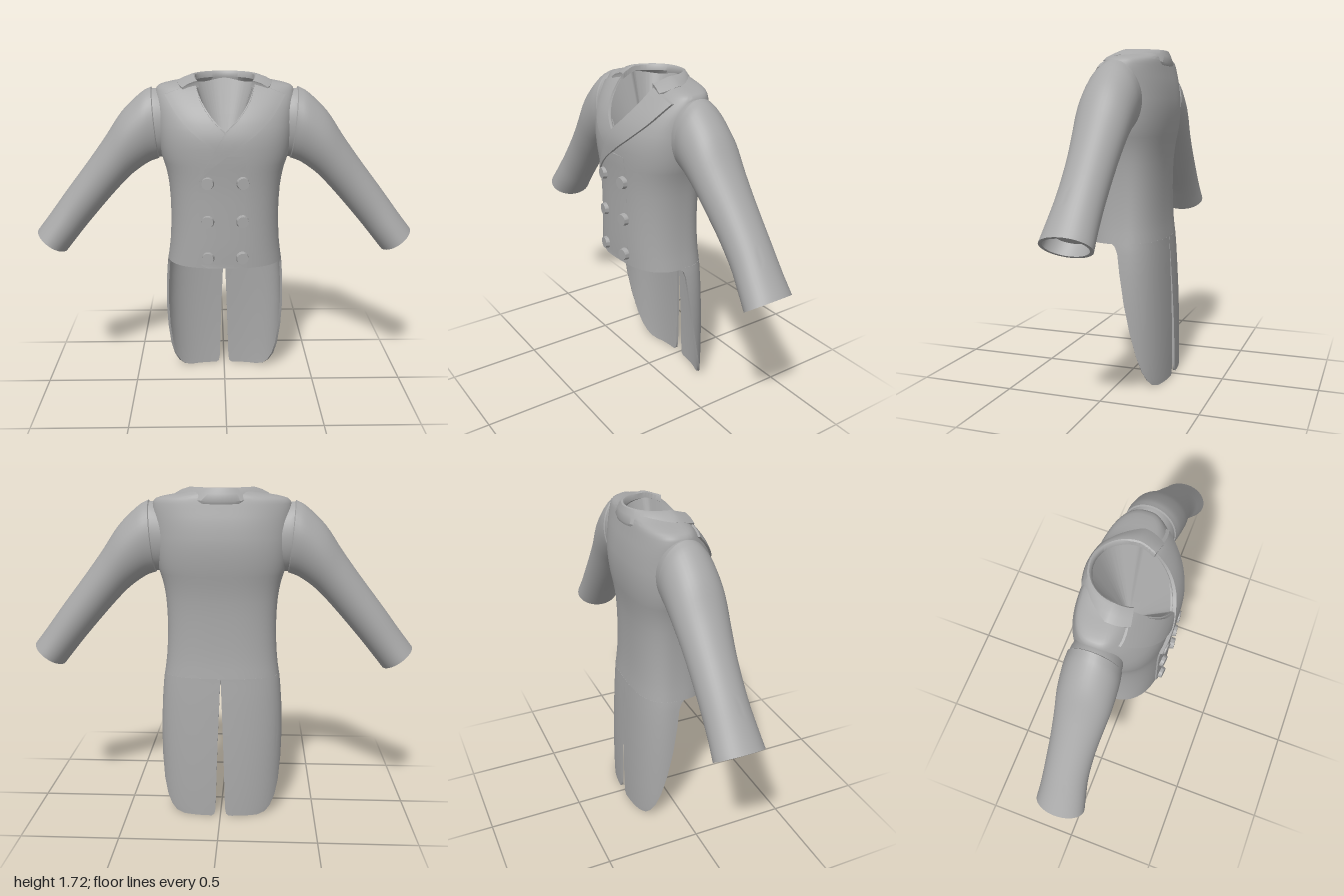
import * as THREE from 'three';
import { toCreasedNormals } from 'three/addons/utils/BufferGeometryUtils.js';

const cloth = new THREE.MeshStandardMaterial({ color: 0xa8a8a8, side: THREE.DoubleSide });
cloth.name = 'grey cloth';
const N = 2.6, ZC = -0.03;            // superellipse power and centre depth

// Body sections: height, half width, front z, back z
const BODY = [
  [0.75, 0.305, 0.205, -0.2], [0.85, 0.292, 0.208, -0.19], [1.0, 0.285, 0.209, -0.185],
  [1.15, 0.291, 0.211, -0.188], [1.25, 0.308, 0.216, -0.2], [1.32, 0.33, 0.22, -0.212],
  [1.42, 0.345, 0.219, -0.22], [1.5, 0.35, 0.197, -0.215], [1.56, 0.354, 0.165, -0.206],
  [1.6, 0.356, 0.135, -0.197], [1.64, 0.352, 0.1, -0.188], [1.665, 0.335, 0.075, -0.182],
  [1.68, 0.28, 0.055, -0.178], [1.692, 0.21, 0.04, -0.175], [1.705, 0.165, 0.03, -0.172],
];
// Tail sections: height, half width, back z, front edge z, slit half width
const TAIL = [
  [0.755, 0.305, -0.2, 0.015, 0.001], [0.735, 0.308, -0.201, -0.008, 0.001], [0.7, 0.312, -0.204, -0.022, 0.003],
  [0.6, 0.32, -0.21, -0.036, 0.007], [0.45, 0.326, -0.218, -0.06, 0.013], [0.3, 0.326, -0.224, -0.09, 0.018],
  [0.17, 0.325, -0.227, -0.122, 0.022], [0.09, 0.323, -0.228, -0.147, 0.024], [0.04, 0.32, -0.228, -0.168, 0.026],
  [0.012, 0.318, -0.228, -0.185, 0.031], [0, 0.316, -0.228, -0.203, 0.045],
];
// Sleeve sections: upper x, y, lower x, y, front z, back z
const SLEEVE = [
  [0.376, 1.655, 0.343, 1.287, 0.1, -0.16], [0.43, 1.625, 0.4, 1.265, 0.108, -0.163],
  [0.53, 1.53, 0.485, 1.205, 0.108, -0.16], [0.62, 1.4, 0.56, 1.13, 0.097, -0.15],
  [0.72, 1.265, 0.645, 1.035, 0.085, -0.143], [0.84, 1.11, 0.735, 0.93, 0.083, -0.14],
  [0.93, 0.99, 0.8, 0.85, 0.094, -0.141], [1.0, 0.9, 0.852, 0.785, 0.105, -0.146],
];

// Smooth (Hermite) sampling of a table sorted by its first column
function sample(table, y) {
  const last = table.length - 1;
  let i = 0;
  while (i < last - 1 && y > table[i + 1][0]) i++;
  const a = table[i], b = table[i + 1], p = table[Math.max(i - 1, 0)], q = table[Math.min(i + 2, last)];
  const h = b[0] - a[0], t = Math.min(1, Math.max(0, (y - a[0]) / h));
  return a.map((v, k) => {
    const m0 = h * (b[k] - p[k]) / (b[0] - p[0]), m1 = h * (q[k] - v) / (q[0] - a[0]);
    const t2 = t * t, t3 = t2 * t;
    return (2 * t3 - 3 * t2 + 1) * v + (t3 - 2 * t2 + t) * m0 + (3 * t2 - 2 * t3) * b[k] + (t3 - t2) * m1;
  });
}

const pow = (v) => Math.sign(v) * Math.abs(v) ** (2 / N);
const lerp = THREE.MathUtils.lerp;

// Skin through rows of points
function loft(rows, closed = false, caps = false, crease = 0.7) {
  const m = rows[0].length, pos = rows.flat(2), index = [];
  const cols = closed ? m : m - 1;
  for (let r = 0; r < rows.length - 1; r++) {
    for (let c = 0; c < cols; c++) {
      const d = (c + 1) % m, a = r * m + c, b = r * m + d;
      index.push(a, b, b + m, a, b + m, a + m);
    }
  }
  if (caps) {
    const e = (rows.length - 1) * m;
    for (let i = 0, j = m - 1; i + 1 < j; i++, j--) {
      for (const o of [0, e]) {
        const q = [o + i, o + j, o + j - 1, o + i, o + j - 1, o + i + 1];
        index.push(...(o ? q.reverse() : q));
      }
    }
  }
  const g = new THREE.BufferGeometry();
  g.setAttribute('position', new THREE.Float32BufferAttribute(pos, 3));
  g.setIndex(index);
  return toCreasedNormals(g, crease);
}

// Point on the body; angle 0 is the front, k shrinks the section
function bodyPoint(y, ang, k = 1, atY = y) {
  const [, w, zf, zb] = sample(BODY, y), c = Math.cos(ang);
  return [w * k * pow(Math.sin(ang)), atY, ZC + k * (c > 0 ? zf - ZC : ZC - zb) * pow(c)];
}
// Depth of the front surface at x, y
function frontZ(x, y) {
  const [, w, zf] = sample(BODY, y);
  return ZC + (zf - ZC) * Math.max(0, 1 - Math.abs(x / w) ** N) ** (1 / N);
}

// Half width of the V neckline
const NECK = [[1.46, 0], [1.52, 0.062], [1.6, 0.117], [1.66, 0.142], [1.705, 0.153]];

// Thin panel lying on the front between two edge curves of [x, y]
function panel(inner, outer, lift, fade = 1, steps = 20) {
  const curve = (pts) => new THREE.SplineCurve(pts.map((p) => new THREE.Vector2(...p)));
  const A = curve(inner), B = curve(outer), rows = [];
  for (let v = 0; v <= steps; v++) {
    const a = A.getPoint(v / steps), b = B.getPoint(v / steps);
    const at = (u, off) => {
      const x = lerp(a.x, b.x, u), y = lerp(a.y, b.y, u);
      return [x, y, frontZ(x, y) + off];
    };
    const row = [at(0, -0.012)];
    for (let u = 0; u <= 8; u++) row.push(at(u / 8, lift * lerp(1, fade, u / 8)));
    row.push(at(1, -0.012));
    rows.push(row);
  }
  return loft(rows, true, true);
}

export function createModel() {
  const coat = new THREE.Group();
  coat.name = 'tailcoat';
  const add = (name, geo) => {
    const mesh = new THREE.Mesh(geo, cloth);
    mesh.name = name;
    coat.add(mesh);
    return mesh;
  };

  // Body, open along the V neckline, with a hollow hem
  const SEG = 72, ys = [];
  BODY.forEach(([y], i) => { if (i) ys.push((y + BODY[i - 1][0]) / 2); ys.push(y); });
  ys.push(1.475);
  ys.sort((a, b) => a - b);
  const ring = (y, k, atY) => {
    const v = y > 1.46 ? sample(NECK, y)[1] : 0;
    const a0 = Math.asin(Math.min(1, v / sample(BODY, y)[1]) ** (N / 2));
    return Array.from({ length: SEG + 1 }, (_, i) => bodyPoint(y, lerp(a0, 2 * Math.PI - a0, i / SEG), k, atY));
  };
  const rows = ys.map((y) => ring(y));
  add('body', loft([ring(0.75, 0, 0.86), ring(0.75, 0.93, 0.85), ring(0.75, 0.95), ...rows]));

  // Lining seen through the neckline
  const open = rows.filter((r) => r[0][1] >= 1.459);
  const rim = [[0, 1.46, frontZ(0, 1.46)], ...open.map((r) => r[0]), ...rows[rows.length - 1],
    ...open.map((r) => r[SEG]).reverse()];
  const toApex = (k) => rim.map(([x, y, z]) => [x * k, lerp(1.2, y, k), z * k]);
  add('lining', loft([1, 0.6, 0.3, 0].map(toApex), true, false, 1));

  // Tails, each a thin curved shell
  for (const s of [1, -1]) {
    const tail = TAIL.map(([y, w, zb, ze, slit]) => {
      const d = ZC - zb, r = (ZC - ze) / d;
      const p0 = Math.asin((slit / w) ** (N / 2)), p1 = Math.acos(Math.sign(r) * Math.abs(r) ** (N / 2));
      const side = (t) => Array.from({ length: 25 }, (_, i) => {
        const p = lerp(p0, p1, i / 24);
        return [s * Math.max(slit, (w - t) * pow(Math.sin(p))), y, ZC - (d - t) * pow(Math.cos(p))];
      });
      return [...side(0), ...side(0.013).reverse()];
    });
    add(s > 0 ? 'leftTail' : 'rightTail', loft(tail, true, true));
  }

  // Sleeves with a stepped armhole seam and hollow cuffs
  const path = [];
  for (let i = 0; i <= 28; i++) path.push(sample(SLEEVE.map((r, k) => [k, ...r]), i / 4).slice(1));
  for (const s of [1, -1]) {
    const oval = ([ux, uy, lx, ly, zf, zb], k = 1, dx = 0) => Array.from({ length: 40 }, (_, i) => {
      const a = (i / 40) * Math.PI * 2, c = 0.5 + 0.5 * k * Math.cos(a);
      return [s * (lerp(lx, ux, c) + dx), lerp(ly, uy, c), (zf + zb) / 2 + (k * (zf - zb) / 2) * Math.sin(a)];
    });
    const end = path[28];
    add(s > 0 ? 'leftSleeve' : 'rightSleeve', loft([
      oval(path[0], 0.9, -0.07), oval(path[0], 0.955, -0.022), oval(path[0], 0.955, -0.004),
      ...path.map((p) => oval(p)),
      oval(end, 0.86), oval(path[25], 0.86), oval(path[25], 0),
    ], true));
  }

  // Front overlap and crossing lapels
  add('frontOverlap', panel(
    [[-0.085, 0.752], [-0.118, 0.765], [-0.132, 0.8], [-0.133, 1.0], [-0.133, 1.2], [-0.11, 1.26], [-0.06, 1.34]],
    [[0.1, 0.752], [0.1, 0.765], [0.1, 0.8], [0.1, 1.0], [0.1, 1.2], [0.1, 1.26], [0.1, 1.34]], 0.008, 0.1, 30));
  add('rightLapel', panel(
    [[-0.15, 1.685], [-0.123, 1.6], [-0.07, 1.52], [0.01, 1.445]],
    [[-0.302, 1.628], [-0.235, 1.53], [-0.15, 1.445], [-0.04, 1.365]], 0.011));
  add('leftLapel', panel(
    [[0.15, 1.685], [0.123, 1.6], [0.065, 1.52], [-0.005, 1.45], [-0.07, 1.34], [-0.134, 1.225]],
    [[0.302, 1.628], [0.235, 1.53], [0.145, 1.445], [0.05, 1.375], [-0.055, 1.295], [-0.13, 1.22]], 0.017, 1, 30));

  // Collar folded around the neck
  const collar = [];
  for (let i = 0; i <= 40; i++) {
    const a = lerp(-2.05, 2.05, i / 40), s = Math.sin(a), c = Math.cos(a);
    const drop = Math.max(0, -c) * 0.06, back = Math.max(0, c);
    const at = (rx, rz, y) => [rx * s, y - drop, -rz * c - 0.005];
    const low = 1.69 - 0.035 * back;
    collar.push([at(0.146, 0.158, 1.69), at(0.15, 0.163, 1.715), at(0.157, 0.17, 1.721), at(0.172, 0.178, 1.718),
      at(0.205, 0.19, (1.718 + low) / 2 + 0.004), at(0.24, 0.2, low), at(0.236, 0.195, low - 0.014), at(0.19, 0.178, low - 0.012)]);
  }
  add('collar', loft(collar, true, true));

  // Double row of buttons
  const disc = toCreasedNormals(new THREE.CylinderGeometry(0.029, 0.033, 0.024, 28).rotateX(Math.PI / 2), 0.7);
  for (const y of [1.205, 1.005, 0.81]) {
    for (const x of [-0.09, 0.087]) {
      const b = add('button', disc);
      b.position.set(x, y, frontZ(x, y) + 0.013);
      b.rotation.y = Math.atan2(frontZ(x - 0.02, y) - frontZ(x + 0.02, y), 0.04);
    }
  }
  return coat;
}
